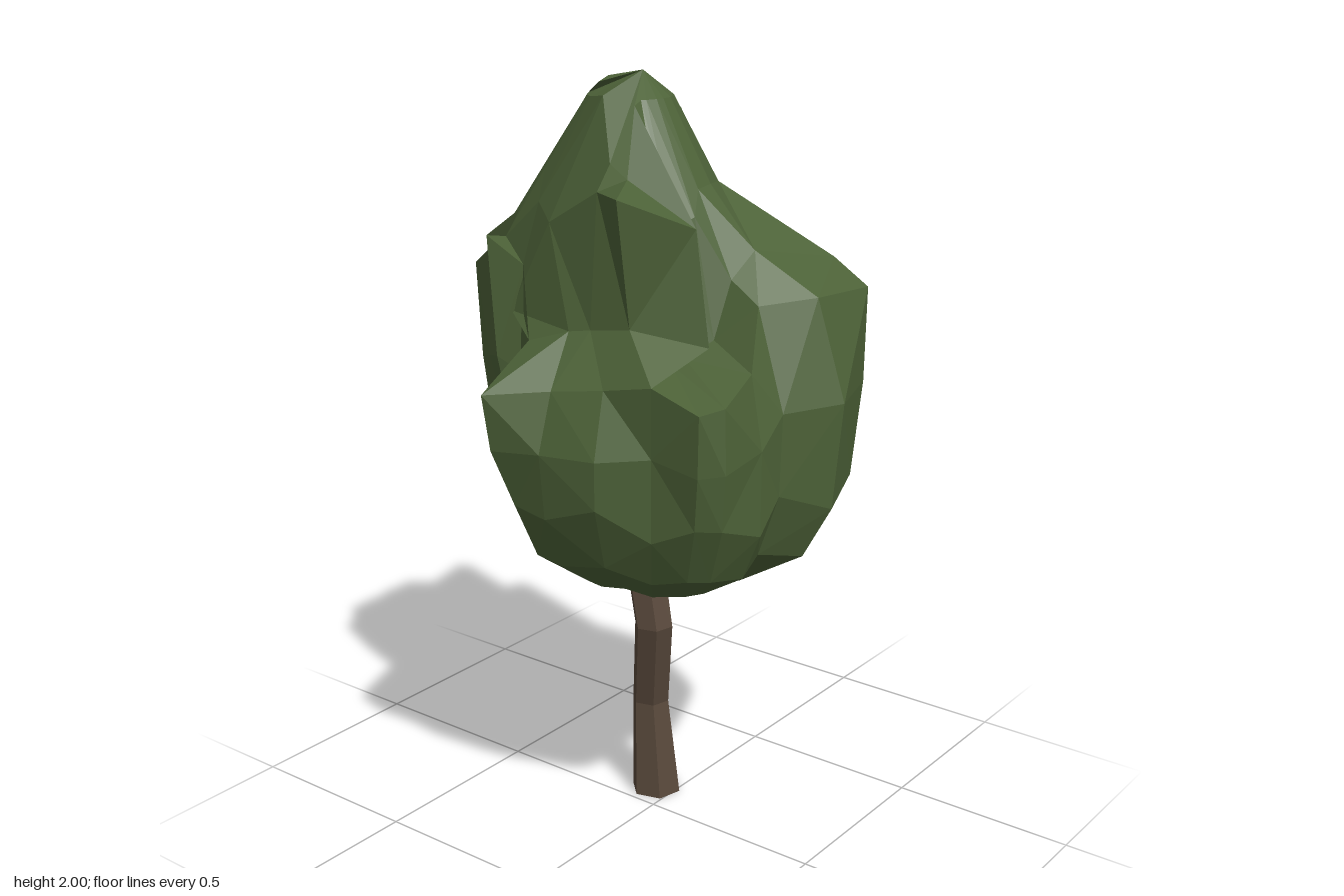
import * as THREE from 'three';

const leaf = new THREE.MeshStandardMaterial({ color: 0x4d6238, flatShading: true });
leaf.name = 'leafGreen';
const bark = new THREE.MeshStandardMaterial({ color: 0x58483b, flatShading: true });
bark.name = 'barkBrown';

const { lerp } = THREE.MathUtils;

// skin a stack of rings (bottom to top) with flat triangles; one-point rings close the ends
function loft(rings) {
  const n = Math.max(...rings.map((r) => r.length));
  const at = (i, j) => rings[i][j % rings[i].length];
  const pos = [];
  const tri = (a, b, c) => {
    if (a === b || b === c || a === c) return;
    for (const p of [a, b, c]) pos.push(p.x, p.y, p.z);
  };
  for (let i = 0; i < rings.length - 1; i++) {
    for (let j = 0; j < n; j++) {
      const a = at(i, j), b = at(i + 1, j), c = at(i, j + 1), d = at(i + 1, j + 1);
      // split each quad along its shorter diagonal
      if (b.distanceTo(c) < a.distanceTo(d)) { tri(a, b, c); tri(b, d, c); }
      else { tri(a, b, d); tri(a, d, c); }
    }
  }
  const geo = new THREE.BufferGeometry();
  geo.setAttribute('position', new THREE.Float32BufferAttribute(pos, 3));
  geo.computeVertexNormals();
  return geo;
}

// crooked six-sided trunk
function makeTrunk() {
  const path = [ // y, x, z, radius
    [0, 0.085, -0.055, 0.07],
    [0.27, 0.09, -0.078, 0.052],
    [0.52, 0.05, -0.037, 0.054],
    [0.74, 0.065, -0.088, 0.056],
    [0.95, 0.05, -0.06, 0.04],
  ];
  const rings = path.map(([y, x, z, r]) => Array.from({ length: 6 }, (_, j) => {
    const a = (j / 6) * Math.PI * 2 + 0.25;
    return new THREE.Vector3(x + r * Math.cos(a), y, z + r * Math.sin(a));
  }));
  rings.unshift([new THREE.Vector3(0.085, 0, -0.055)]);
  rings.push([new THREE.Vector3(0.05, 0.95, -0.06)]);
  return loft(rings);
}

// crown: upright ridges and valleys around an egg-shaped core, each ending in a shoulder
function makeCrown() {
  const ridges = [ // x, z, shoulder height, shoulder scale, foot scale
    [0.44, 0, 1.32, 0.93, 0.95],
    [0.43, 0.12, 1.27, 0.9, 1],
    [0.36, 0.19, 1.45, 0.88, 0.97],
    [0.35, 0.33, 1.54, 0.85, 0.94],
    [0.33, 0.43, 1.47, 0.99, 0.94],
    [0.1, 0.515, 1.49, 0.84, 0.94],
    [-0.05, 0.43, 1.48, 0.8, 0.98],
    [-0.14, 0.43, 1.34, 0.9, 1],
    [-0.29, 0.435, 1.3, 0.97, 0.95],
    [-0.34, 0.39, 1.29, 1, 0.93],
    [-0.335, 0.25, 1.33, 1, 1],
    [-0.4, 0.13, 1.3, 0.85, 1],
    [-0.42, -0.03, 1.28, 0.88, 0.95],
    [-0.47, -0.16, 1.27, 1, 0.83],
    [-0.3, -0.2, 1.36, 0.9, 1],
    [-0.22, -0.26, 1.53, 0.95, 0.97],
    [-0.25, -0.33, 1.6, 1, 0.83],
    [-0.17, -0.42, 1.54, 0.96, 0.9],
    [-0.1, -0.51, 1.48, 1, 0.9],
    [0.01, -0.52, 1.48, 1, 0.93],
    [0.13, -0.43, 1.53, 0.94, 0.95],
    [0.24, -0.35, 1.52, 1, 0.9],
    [0.27, -0.26, 1.48, 0.95, 1],
    [0.43, -0.28, 1.38, 1, 0.78],
    [0.46, -0.24, 1.4, 1.02, 0.82],
    [0.45, -0.1, 1.35, 0.97, 0.93],
  ];
  // the core tapers upwards, with its own slope on each of the four sides
  const core = (x, z, y) => {
    const a = Math.atan2(z, x), t = Math.min(1.94 - y, 0.4);
    const rx = x > 0 ? 0.09 + 0.48 * t : 0.11 + 0.38 * t;
    const rz = z > 0 ? 0.09 + 0.55 * t : 0.13 + 0.72 * t;
    return new THREE.Vector3(rx * Math.cos(a), y, -0.05 + rz * Math.sin(a));
  };
  const columns = ridges.map(([x, z, top, shoulder, foot], j) => {
    const at = (s, y) => new THREE.Vector3(x * s, y, z * s);
    const wave = 0.02 * Math.sin(j * 2.4);
    return [
      at(foot * 0.5, 0.725 + wave * 0.5),
      at(foot * 0.85, 0.83 + wave),
      at(foot, 0.98 + wave * 2),
      at(lerp(foot, Math.max(1, shoulder), 0.75), lerp(0.98, top, 0.5)),
      at(shoulder, top),
      core(x, z, top + 0.05),
      core(x, z, lerp(top, 1.92, 0.58)),
      core(x, z, 1.94),
    ];
  });

  // leafy knobs and notches above the shoulders
  const knobs = [ // column, row, x, y, z
    [5, 5, 0.05, 1.59, 0.27], [4, 5, 0.3, 1.54, 0.34],
    [10, 5, -0.15, 1.39, 0.28], [10, 6, -0.15, 1.67, 0.24],
    [11, 5, -0.25, 1.43, 0.12], [11, 6, -0.31, 1.75, 0.13], [11, 7, -0.18, 1.77, 0.06],
    [12, 5, -0.25, 1.41, 0], [12, 6, -0.22, 1.74, 0], [12, 7, -0.17, 1.8, 0],
    [13, 5, -0.26, 1.4, -0.06], [13, 7, -0.12, 1.95, -0.06], [10, 7, -0.1, 1.93, 0.02],
    [0, 5, 0.33, 1.5, 0], [0, 6, 0.21, 1.74, 0],
    [2, 5, 0.3, 1.56, 0.09],
    [24, 5, 0.33, 1.52, -0.2], [24, 6, 0.29, 1.86, -0.2],
    [25, 5, 0.33, 1.52, -0.1], [25, 6, 0.3, 1.87, -0.14],
    [24, 7, 0.1, 1.9, -0.13], [25, 7, 0.13, 1.89, -0.09],
    [18, 7, -0.05, 1.97, -0.13], [19, 7, 0, 1.98, -0.14],
  ];
  for (const [c, r, ...p] of knobs) columns[c][r].set(...p);

  const rings = columns[0].map((_, r) => columns.map((c) => c[r]));
  rings.unshift([new THREE.Vector3(-0.05, 0.675, -0.02)]);
  rings.push([new THREE.Vector3(0.01, 2, -0.04)]);
  return loft(rings);
}

export function createModel() {
  const tree = new THREE.Group();
  tree.name = 'tree';
  const trunk = new THREE.Mesh(makeTrunk(), bark);
  trunk.name = 'trunk';
  const crown = new THREE.Mesh(makeCrown(), leaf);
  crown.name = 'crown';
  tree.add(trunk, crown);
  return tree;
}
